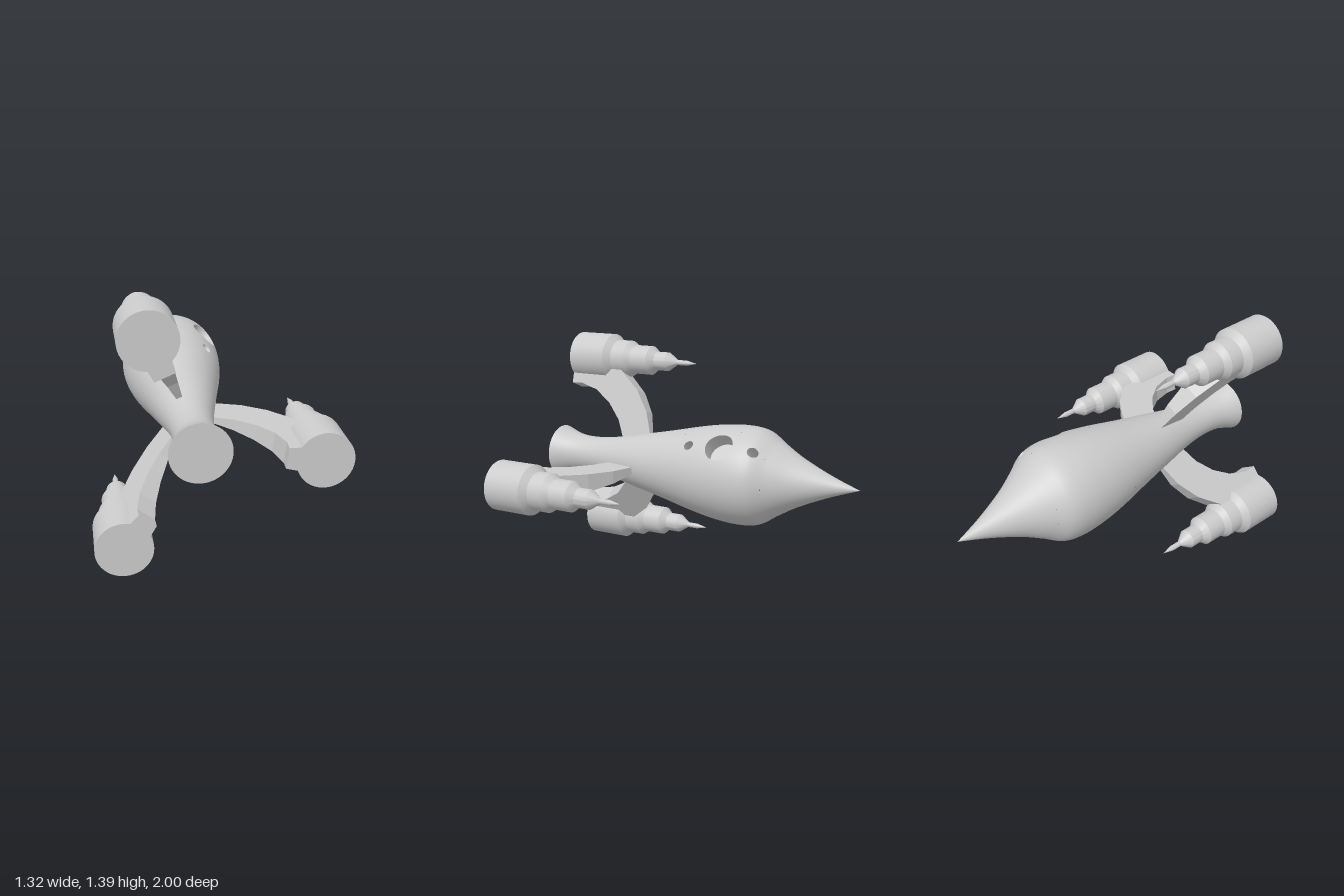
import * as THREE from 'three';
import { toCreasedNormals } from 'three/addons/utils/BufferGeometryUtils.js';

const grey = new THREE.MeshStandardMaterial({ color: 0xcccccc });
const greyDouble = new THREE.MeshStandardMaterial({ color: 0xcccccc, side: THREE.DoubleSide });

// Hull profile as [z, radius], nose to tail
const HULL = [[-1, 0], [-0.82, 0.065], [-0.64, 0.145], [-0.52, 0.214], [-0.42, 0.276], [-0.3, 0.292],
  [-0.15, 0.281], [0, 0.255], [0.2, 0.21], [0.4, 0.168], [0.6, 0.128], [0.75, 0.113], [0.88, 0.122], [1, 0.162]];

function slopeAt(i) {
  const a = HULL[Math.max(i - 1, 0)], b = HULL[Math.min(i + 1, HULL.length - 1)];
  return (b[1] - a[1]) / (b[0] - a[0]);
}

// Smooth hull radius at z
function radius(z) {
  let i = 0;
  while (i < HULL.length - 2 && z > HULL[i + 1][0]) i++;
  const [za, ra] = HULL[i], [zb, rb] = HULL[i + 1];
  const h = zb - za, t = (z - za) / h, t2 = t * t, t3 = t2 * t;
  return (2 * t3 - 3 * t2 + 1) * ra + (t3 - 2 * t2 + t) * h * slopeAt(i)
    + (3 * t2 - 2 * t3) * rb + (t3 - t2) * h * slopeAt(i + 1);
}

// Grid surface from a rule giving a point for (u, v)
function surface(nu, nv, point) {
  const pos = [], idx = [];
  for (let j = 0; j <= nv; j++) for (let i = 0; i <= nu; i++) pos.push(...point(i / nu, j / nv));
  for (let j = 0; j < nv; j++) for (let i = 0; i < nu; i++) {
    const a = j * (nu + 1) + i, b = a + nu + 1;
    idx.push(a, a + 1, b, a + 1, b + 1, b);
  }
  const g = new THREE.BufferGeometry();
  g.setAttribute('position', new THREE.Float32BufferAttribute(pos, 3));
  g.setIndex(idx);
  g.computeVertexNormals();
  return g;
}

// Piece of hull skin: the rule gives [phi, z]; normals follow the profile
function skin(nu, nv, rule) {
  const normals = [];
  const g = surface(nu, nv, (u, v) => {
    const [phi, z] = rule(u, v), r = radius(z), e = 0.001;
    const lo = Math.max(z - e, -1), hi = Math.min(z + e, 1);
    const n = new THREE.Vector3(Math.cos(phi), Math.sin(phi), -(radius(hi) - radius(lo)) / (hi - lo)).normalize();
    normals.push(n.x, n.y, n.z);
    return [r * Math.cos(phi), r * Math.sin(phi), z];
  });
  g.setAttribute('normal', new THREE.Float32BufferAttribute(normals, 3));
  return g;
}

function add(parent, name, geometry, material = grey) {
  const m = new THREE.Mesh(geometry, material);
  m.name = name;
  parent.add(m);
  return m;
}

const PORT_PHI = Math.PI / 4, PORT_HALF = 0.45, STRIP = [-0.5, 0.04];
const band = (p0, p1, z0, z1) => (u, v) => [p0 + (p1 - p0) * u, z0 + (z1 - z0) * v];

// Skin around one porthole, plus its recessed well
function addPorthole(parent, zc, rad, z0, z1) {
  const rim = (psi) => {
    const z = zc + rad * Math.sin(psi);
    return [PORT_PHI + Math.asin(rad * Math.cos(psi) / radius(z)), z];
  };
  add(parent, 'portholeSurround', skin(48, 8, (u, v) => {
    const psi = -2 * Math.PI * u, c = Math.cos(psi), s = Math.sin(psi);
    const k = 1 / Math.max(Math.abs(c), Math.abs(s));
    const [phi, z] = rim(psi);
    const edgePhi = PORT_PHI + PORT_HALF * c * k;
    const edgeZ = zc + (s > 0 ? z1 - zc : zc - z0) * s * k;
    return [phi + (edgePhi - phi) * v, z + (edgeZ - z) * v];
  }));
  const floor = radius(zc) - 0.11, cx = Math.cos(PORT_PHI), sx = Math.sin(PORT_PHI);
  const well = surface(48, 2, (u, v) => {
    const psi = 2 * Math.PI * u;
    if (v === 0) {
      const [phi, z] = rim(psi), r = radius(z);
      return [r * Math.cos(phi), r * Math.sin(phi), z];
    }
    const q = v === 1 ? 0 : rad, t = q * Math.cos(psi);
    return [floor * cx - t * sx, floor * sx + t * cx, zc + q * Math.sin(psi)];
  });
  add(parent, 'portholeWell', toCreasedNormals(well, 0.6), greyDouble);
}

function makeHull() {
  const hull = new THREE.Group();
  hull.name = 'hull';
  const [s0, s1] = STRIP, full = 2 * Math.PI;
  add(hull, 'nose', skin(72, 30, band(0, full, -1, s0)));
  add(hull, 'tail', skin(72, 50, band(0, full, s1, 1)));
  add(hull, 'midsection', skin(64, 28, band(PORT_PHI + PORT_HALF, PORT_PHI - PORT_HALF + full, s0, s1)));
  addPorthole(hull, -0.435, 0.03, s0, -0.37);
  addPorthole(hull, -0.23, 0.085, -0.37, -0.09);
  addPorthole(hull, -0.025, 0.03, -0.09, s1);
  add(hull, 'tailCap', new THREE.CircleGeometry(0.162, 72)).position.z = 1;
  return hull;
}

// Arched fin in (radius, z), swept as a wedge about the hull axis
function finGeometry() {
  const outline = [[0.08, 0.35], [0.16, 0.37], [0.306, 0.42], [0.436, 0.51], [0.546, 0.64], [0.615, 0.79],
    [0.645, 0.95], [0.637, 1], [0.442, 1], [0.446, 0.93], [0.412, 0.81], [0.336, 0.7], [0.236, 0.615],
    [0.126, 0.565], [0.08, 0.555]];
  const shape = new THREE.Shape(outline.map(([r, z]) => new THREE.Vector2(r, z)));
  const g = new THREE.ExtrudeGeometry(shape, { depth: 1, bevelEnabled: false });
  const p = g.attributes.position, wedge = THREE.MathUtils.degToRad(14.5);
  for (let i = 0; i < p.count; i++) {
    const r = p.getX(i), a = wedge * (0.5 - p.getZ(i));
    p.setXYZ(i, r * Math.cos(a), r * Math.sin(a), p.getY(i));
  }
  g.computeVertexNormals();
  return g;
}

// Stepped engine pod with a needle tip
function podGeometry() {
  const profile = [[0, 0.155], [0.016, 0.225], [0.016, 0.289], [0.058, 0.353], [0.058, 0.433], [0.09, 0.47],
    [0.09, 0.588], [0.115, 0.626], [0.115, 0.717], [0.15, 0.754], [0.15, 1], [0, 1]];
  const g = new THREE.LatheGeometry(profile.map(([r, z]) => new THREE.Vector2(r, z)), 48);
  g.rotateX(Math.PI / 2);
  return toCreasedNormals(g, 0.4);
}

export function createModel() {
  const model = new THREE.Group();
  model.name = 'rocket';
  const body = new THREE.Group();
  body.name = 'body';
  body.position.set(-0.126, 0.66, 0);
  model.add(body);
  body.add(makeHull());

  // Three fins with pods, evenly spaced round the hull
  const fin = finGeometry(), pod = podGeometry();
  for (let i = 0; i < 3; i++) {
    const leg = new THREE.Group();
    leg.name = 'finAndPod';
    leg.rotation.z = THREE.MathUtils.degToRad(-7.25 + 120 * i);
    add(leg, 'fin', fin);
    add(leg, 'pod', pod).position.x = 0.637;
    body.add(leg);
  }
  return model;
}
